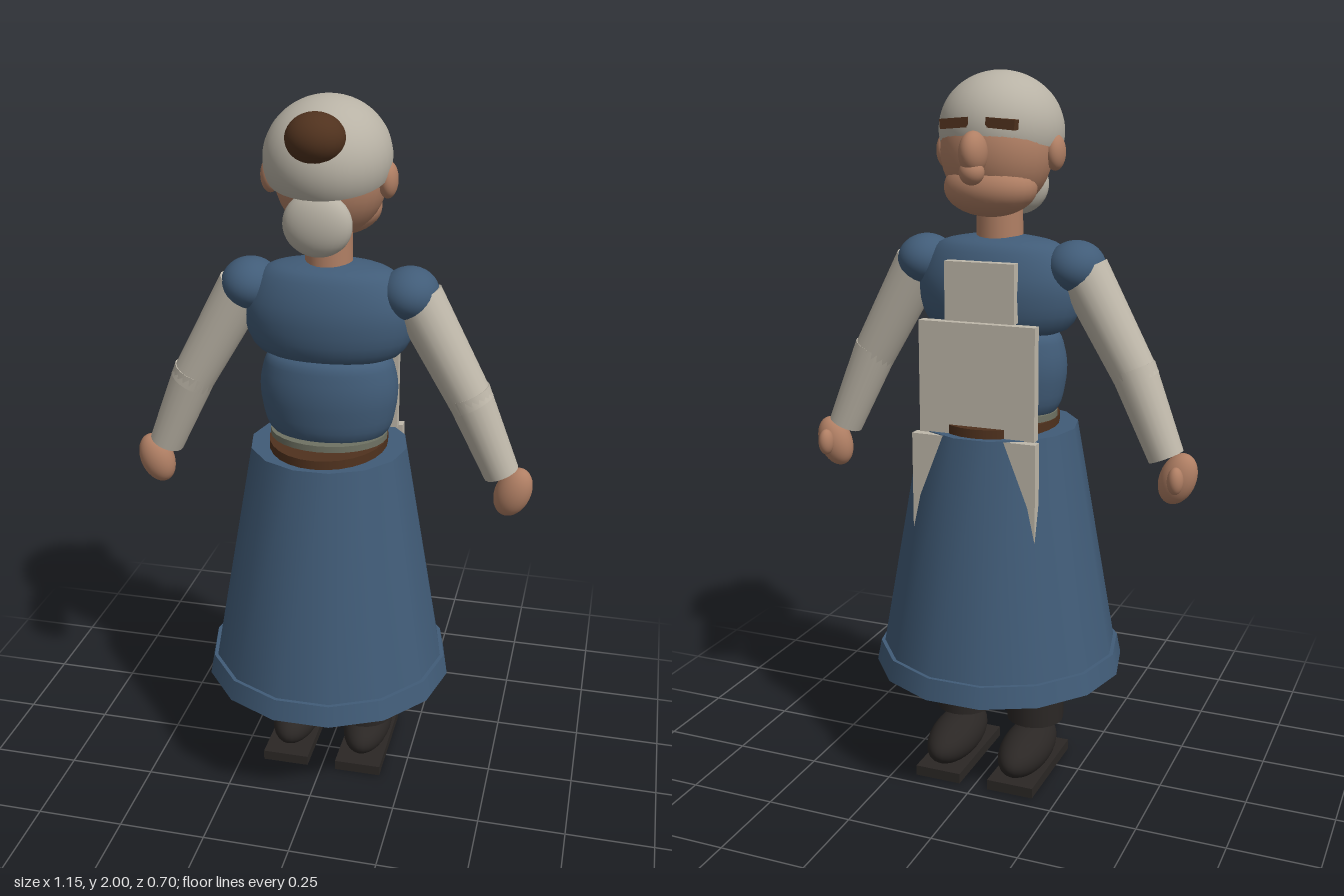
import * as THREE from 'three';

const mat = (color, side = THREE.FrontSide) => new THREE.MeshStandardMaterial({ color, side });
const BLUE = mat(0x415c78), SKIN = mat(0xb07f64), CLOTH = mat(0xbfb8aa);
const HAIR = mat(0xb8b2a5, THREE.DoubleSide), BROWN = mat(0x50321e), DARK = mat(0x2b2725), SASH = mat(0x6f7263);

export function createModel() {
  const model = new THREE.Group();
  model.name = 'figure';

  const add = (name, geometry, material, x = 0, y = 0, z = 0) => {
    const mesh = new THREE.Mesh(geometry, material);
    mesh.name = name;
    mesh.position.set(x, y, z);
    model.add(mesh);
    return mesh;
  };
  const ball = (name, material, [x, y, z], [rx, ry, rz]) =>
    add(name, new THREE.SphereGeometry(1, 28, 20).scale(rx, ry, rz), material, x, y, z);
  const box = (name, material, [x, y, z], size) =>
    add(name, new THREE.BoxGeometry(...size), material, x, y, z);
  // Tapered cylinder between two points
  const limb = (name, material, a, b, ra, rb) => {
    const from = new THREE.Vector3(...a), to = new THREE.Vector3(...b);
    const dir = to.clone().sub(from);
    const mesh = add(name, new THREE.CylinderGeometry(rb, ra, dir.length(), 20), material);
    mesh.position.copy(from).add(to).multiplyScalar(0.5);
    mesh.quaternion.setFromUnitVectors(new THREE.Vector3(0, 1, 0), dir.normalize());
  };
  // Rounded body section, profile from bottom to top, flattened front to back
  const body = (name, profile, depth) => {
    const curve = new THREE.SplineCurve(profile.map(([r, y]) => new THREE.Vector2(r, y)));
    const points = curve.getPoints(24);
    points.forEach((p) => { p.x = Math.max(p.x, 0); });
    add(name, new THREE.LatheGeometry(points, 32).scale(1, 1, depth), BLUE);
  };
  // Oval disc around the waist
  const disc = (name, material, rx, rz, y0, y1) =>
    add(name, new THREE.CylinderGeometry(1, 1, y1 - y0, 28).scale(rx, 1, rz), material, 0, (y0 + y1) / 2, 0);
  // Fourteen-sided skirt section with corners on the x axis
  const ring = (name, top, bottom, y0, y1) =>
    add(name, new THREE.CylinderGeometry(top, bottom, y1 - y0, 14).rotateY(Math.PI / 2), BLUE, 0, (y0 + y1) / 2, 0);

  // Head; the face points to -z
  ball('head', SKIN, [0, 1.795, -0.022], [0.152, 0.165, 0.146]);
  ball('jaw', SKIN, [0, 1.7, -0.068], [0.128, 0.078, 0.102]);
  ball('nose', SKIN, [0, 1.795, -0.185], [0.036, 0.056, 0.05]);
  ball('noseTip', SKIN, [0, 1.747, -0.195], [0.033, 0.033, 0.033]);
  limb('neck', SKIN, [0, 1.53, 0], [0, 1.67, 0], 0.065, 0.062);

  // Hair
  const cap = new THREE.SphereGeometry(1, 32, 20, 0, Math.PI * 2, 0, Math.PI * 0.6).scale(0.168, 0.155, 0.18);
  add('hairCap', cap, HAIR, 0, 1.845, 0.015).rotation.x = 0.2;
  ball('lowerHair', HAIR, [0, 1.695, 0.132], [0.092, 0.085, 0.045]);
  ball('bun', BROWN, [0, 1.915, 0.15], [0.077, 0.065, 0.074]);

  // Torso
  body('chest', [[0, 1.29], [0.19, 1.315], [0.235, 1.43], [0.185, 1.535], [0.1, 1.565], [0, 1.572]], 0.6);
  body('waist', [[0, 1.05], [0.15, 1.075], [0.19, 1.17], [0.187, 1.26], [0.15, 1.315], [0, 1.33]], 0.7);
  disc('sash', SASH, 0.165, 0.14, 1.04, 1.085);
  disc('belt', BROWN, 0.165, 0.2, 1.035, 1.067);

  // Skirt and hem
  ring('skirt', 0.222, 0.34, 0.37, 1.042);
  ring('hem', 0.348, 0.36, 0.325, 0.385);

  // Apron panels; the skirt swallows most of the lowest one
  box('apronBib', CLOTH, [0, 1.43, -0.136], [0.2, 0.16, 0.03]);
  box('apronWaist', CLOTH, [0, 1.195, -0.158], [0.335, 0.31, 0.03]);
  box('apronSkirt', CLOTH, [0, 0.79, -0.183], [0.36, 0.5, 0.03]);

  for (const s of [1, -1]) {
    const side = s > 0 ? 'left' : 'right';

    // Face details
    ball(side + 'Ear', SKIN, [s * 0.157, 1.79, 0.003], [0.026, 0.048, 0.04]);
    box(side + 'Eyebrow', BROWN, [s * 0.064, 1.868, -0.146], [0.08, 0.026, 0.03]).rotation.z = s * -0.08;

    // Arm
    ball(side + 'PuffSleeve', BLUE, [s * 0.22, 1.49, 0], [0.08, 0.072, 0.09]);
    limb(side + 'UpperSleeve', CLOTH, [s * 0.24, 1.48, 0], [s * 0.402, 1.19, 0.002], 0.071, 0.061);
    limb(side + 'LowerSleeve', CLOTH, [s * 0.385, 1.225, 0.002], [s * 0.487, 0.992, -0.008], 0.063, 0.05);
    ball(side + 'Hand', SKIN, [s * 0.522, 0.935, -0.012], [0.05, 0.075, 0.045]).rotation.z = s * -0.35;
    ball(side + 'Thumb', SKIN, [s * 0.527, 0.942, -0.06], [0.022, 0.038, 0.026]);

    // Leg and shoe
    limb(side + 'Leg', DARK, [s * 0.113, 0.15, 0], [s * 0.113, 0.5, 0], 0.083, 0.088);
    ball(side + 'Shoe', DARK, [s * 0.112, 0.08, -0.06], [0.071, 0.067, 0.157]);
    box(side + 'Sole', DARK, [s * 0.112, 0.015, -0.05], [0.138, 0.03, 0.315]);
  }
  return model;
}
